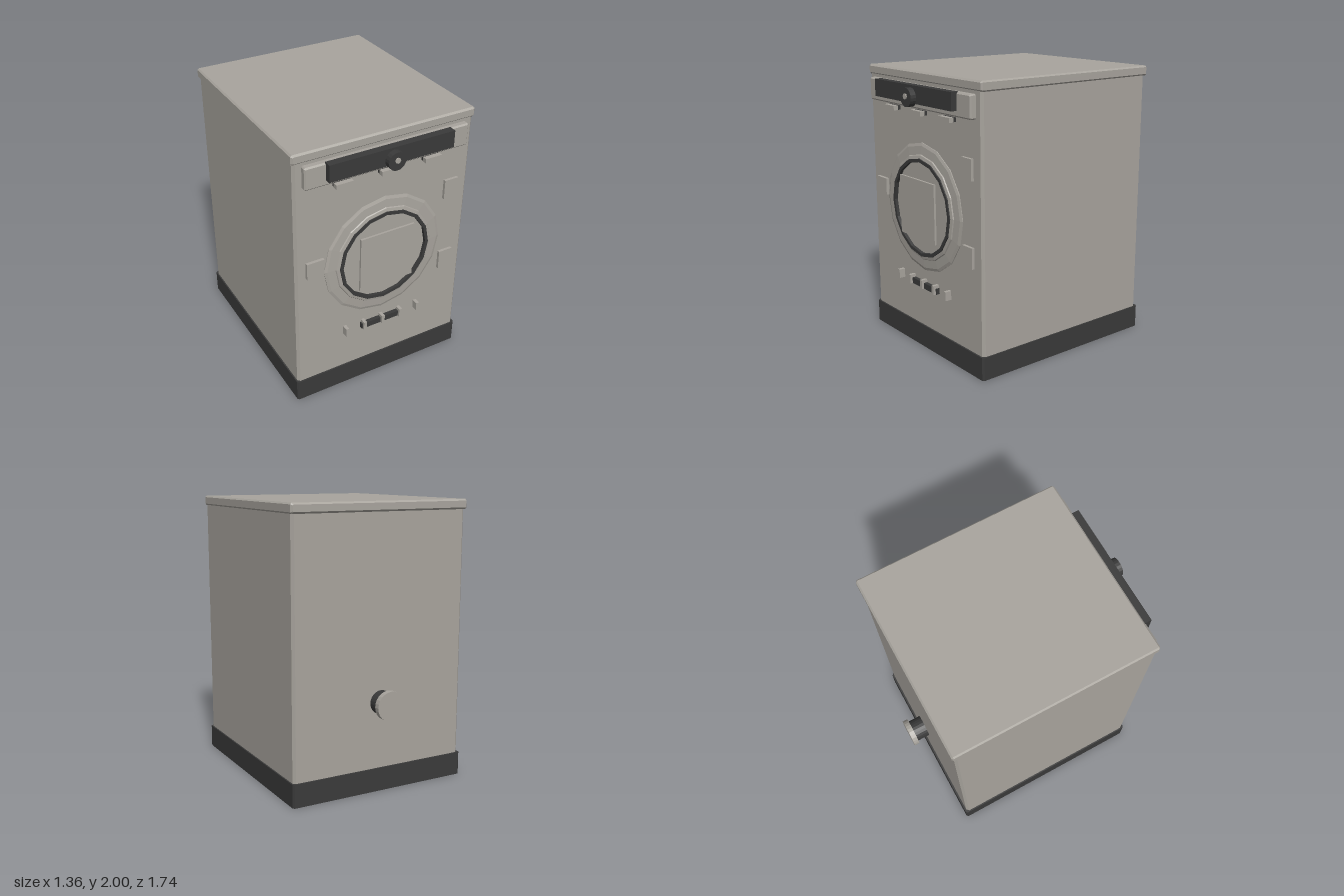
import * as THREE from 'three';

const shell = new THREE.MeshStandardMaterial({ color: 0xa8a49d });
shell.name = 'warm grey shell';
const dark = new THREE.MeshStandardMaterial({ color: 0x3a3a3a });
dark.name = 'charcoal trim';
shell.flatShading = dark.flatShading = true;

export function createModel() {
  const model = new THREE.Group();

  function add(name, geometry, material, x = 0, y = 0, z = 0) {
    const mesh = new THREE.Mesh(geometry, material);
    mesh.name = name;
    mesh.position.set(x, y, z);
    model.add(mesh);
    return mesh;
  }

  // Plain box given by its limits on each axis
  function block(name, material, x0, x1, y0, y1, z0, z1) {
    return add(name, new THREE.BoxGeometry(x1 - x0, y1 - y0, z1 - z0), material,
      (x0 + x1) / 2, (y0 + y1) / 2, (z0 + z1) / 2);
  }

  // Rectangle with cut corners
  function cutRect(w, d, c, Type = THREE.Shape) {
    const a = w / 2, b = d / 2;
    return new Type([
      [a - c, -b], [a, -b + c], [a, b - c], [a - c, b],
      [-a + c, b], [-a, b - c], [-a, -b + c], [-a + c, -b],
    ].map(([x, y]) => new THREE.Vector2(x, y)));
  }

  // Box with chamfered edges; depth runs along z and is centred
  function chamferBox(w, h, d, c) {
    const g = new THREE.ExtrudeGeometry(cutRect(w - 2 * c, h - 2 * c, c * 0.3), {
      depth: d - 2 * c, bevelThickness: c, bevelSize: c, bevelSegments: 1,
    });
    return g.translate(0, 0, c - d / 2);
  }

  // Profile of [radius, z] points turned about the front-to-back axis
  function turned(points, sides) {
    return new THREE.LatheGeometry(points.map(([r, z]) => new THREE.Vector2(r, z)), sides)
      .rotateX(Math.PI / 2);
  }

  function disc(name, material, r, y, z0, z1, sides) {
    return add(name, new THREE.CylinderGeometry(r, r, z1 - z0, sides).rotateX(Math.PI / 2),
      material, 0, y, (z0 + z1) / 2);
  }

  // Cabinet with cut vertical corners
  const bodyGeometry = new THREE.ExtrudeGeometry(cutRect(1.34, 1.465, 0.018),
    { depth: 1.8, bevelEnabled: false }).rotateX(-Math.PI / 2);
  add('cabinet', bodyGeometry, shell, 0, 0.14, -0.003);
  add('lid', chamferBox(1.36, 0.07, 1.49, 0.012), shell, 0, 1.965, -0.008);

  // Hollow plinth, open underneath, with a dark floor pan
  const plinthShape = cutRect(1.36, 1.49, 0.012);
  plinthShape.holes.push(cutRect(1.32, 1.45, 0.01, THREE.Path));
  add('plinth', new THREE.ExtrudeGeometry(plinthShape, { depth: 0.165, bevelEnabled: false })
    .rotateX(-Math.PI / 2), dark, 0, 0, -0.004);
  block('floorPan', dark, -0.665, 0.665, 0.13, 0.139, -0.73, 0.722);

  // Levelling feet
  for (const x of [-0.52, 0.52]) for (const z of [-0.57, 0.56]) {
    add('footStem', new THREE.CylinderGeometry(0.03, 0.03, 0.1, 12), dark, x, 0.085, z);
    add('footNut', new THREE.CylinderGeometry(0.045, 0.045, 0.025, 12), dark, x, 0.075, z);
    add('footPad', new THREE.CylinderGeometry(0.055, 0.04, 0.03, 12), dark, x, 0.035, z);
  }

  // Control panel with dial
  add('controlPanel', chamferBox(1.22, 0.16, 0.06, 0.01), shell, 0, 1.833, 0.742);
  block('controlStrip', dark, -0.465, 0.465, 1.795, 1.917, 0.76, 0.815);
  disc('dial', dark, 0.065, 1.837, 0.81, 0.857, 20);
  disc('dialTip', shell, 0.02, 1.845, 0.85, 0.865, 8);
  for (const x of [-0.335, 0, 0.335]) {
    block('tab', shell, x - 0.063, x + 0.063, 1.71, 1.742, 0.75, 0.785);
    block('tabBacking', dark, x - 0.06, x + 0.06, 1.711, 1.741, 0.725, 0.75);
  }

  // Round door: sloped surround, dark seal, inner face and square plate
  add('doorSurround', turned([[0.46, 0.725], [0.46, 0.735], [0.44, 0.742], [0.38, 0.746],
    [0.375, 0.753], [0.35, 0.758]], 16), shell, 0, 1.057, 0);
  add('doorSeal', turned([[0.352, 0.735], [0.352, 0.766], [0.328, 0.766], [0.328, 0.735]], 16),
    dark, 0, 1.057, 0);
  disc('doorFace', shell, 0.33, 1.057, 0.73, 0.743, 16);
  block('doorPlate', shell, -0.21, 0.21, 0.845, 1.267, 0.775, 0.79);

  // Hinge and latch blocks beside the door
  block('latchBlock', shell, -0.595, -0.465, 1.06, 1.182, 0.72, 0.753);
  for (const y of [1.355, 0.763]) block('hingeBlock', shell, 0.472, 0.58, y, y + 0.145, 0.72, 0.75);

  // Lower handle bar with its brackets
  block('lowerBar', dark, -0.167, 0.167, 0.465, 0.508, 0.725, 0.758);
  for (const x of [-0.295, -0.148, 0, 0.148, 0.295])
    block('bracket', shell, x - 0.012, x + 0.012, 0.465, 0.53, 0.725, 0.776);

  // Rear hose connection
  disc('rearPipe', dark, 0.083, 0.637, -0.84, -0.72, 24);
  disc('rearCap', shell, 0.104, 0.637, -0.87, -0.83, 24);

  return model;
}
